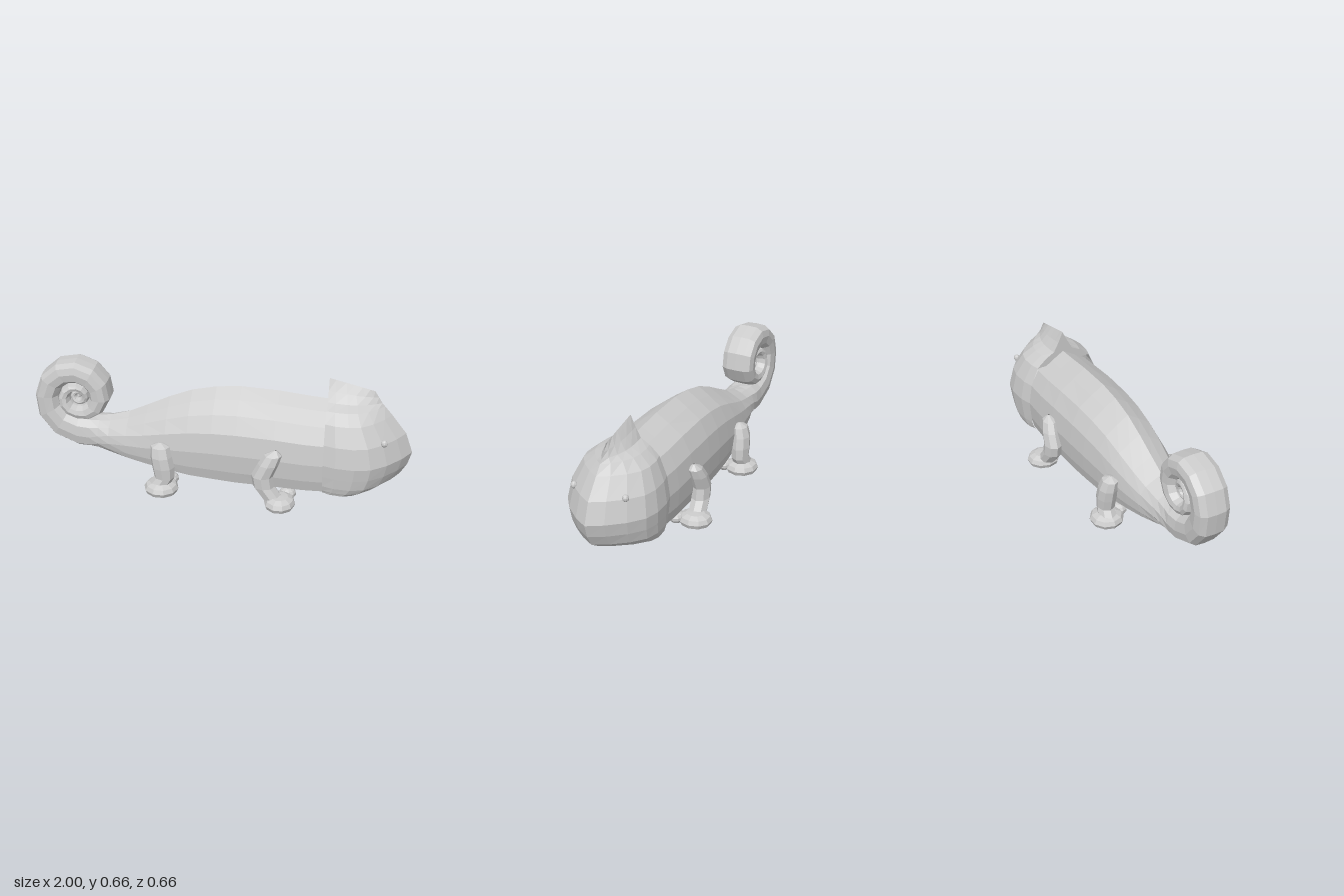
import * as THREE from 'three';

const material = new THREE.MeshStandardMaterial({
  color: 0xcccccc, flatShading: true, side: THREE.DoubleSide,
});

// Skin a list of rows, each holding the same number of [x, y, z] points
function skin(rows, name) {
  const n = rows[0].length;
  const index = [];
  for (let i = 0; i < rows.length - 1; i++) {
    for (let j = 0; j < n - 1; j++) {
      const a = i * n + j, b = a + 1, d = a + n, c = d + 1;
      index.push(a, b, c, a, c, d);
    }
  }
  const geo = new THREE.BufferGeometry();
  geo.setAttribute('position', new THREE.Float32BufferAttribute(rows.flat(2), 3));
  geo.setIndex(index);
  geo.computeVertexNormals();
  return named(geo, name);
}

function named(geo, name) {
  const mesh = new THREE.Mesh(geo, material);
  mesh.name = name;
  return mesh;
}

function ellipsoid(name, [x, y, z], [rx, ry, rz]) {
  const mesh = named(new THREE.SphereGeometry(1, 10, 7), name);
  mesh.position.set(x, y, z);
  mesh.scale.set(rx, ry, rz);
  return mesh;
}

// Horizontal closed ring of points
function ring(x, y, z, rx, rz, sides) {
  return Array.from({ length: sides + 1 }, (_, i) => {
    const a = (i / sides) * Math.PI * 2;
    return [x + Math.cos(a) * rx, y, z + Math.sin(a) * rz];
  });
}

const lerp = THREE.MathUtils.lerp;

// Half sections as [width, height], bottom to top: open belly with a back ridge, and closed tail
const bodyHalf = [[0.88, 0], [0.96, 0.14], [1, 0.36], [0.92, 0.6], [0.7, 0.79], [0.34, 0.905], [0, 1]];
const tailHalf = [[0, 0], [0.56, 0.02], [0.9, 0.16], [1, 0.45], [0.92, 0.78], [0.55, 0.97], [0, 1]];

function section(blend) {
  const half = bodyHalf.map(([w, h], i) => [lerp(w, tailHalf[i][0], blend), lerp(h, tailHalf[i][1], blend)]);
  return [...half, ...half.slice(0, -1).reverse().map(([w, h]) => [-w, h])];
}

// Trunk running back from the neck into the rolled tail
function makeBody() {
  const stations = [ // x, bottom, top, half width, blend to tail section
    [0.58, 0.085, 0.535, 0.206, 0], [0.45, 0.085, 0.545, 0.212, 0], [0.3, 0.09, 0.56, 0.212, 0],
    [0.1, 0.09, 0.567, 0.205, 0], [-0.03, 0.095, 0.555, 0.197, 0], [-0.16, 0.1, 0.525, 0.185, 0],
    [-0.28, 0.115, 0.475, 0.172, 0], [-0.4, 0.13, 0.415, 0.152, 0], [-0.5, 0.145, 0.367, 0.132, 0],
    [-0.6, 0.155, 0.336, 0.112, 0.15], [-0.66, 0.158, 0.328, 0.102, 0.5], [-0.71, 0.16, 0.325, 0.096, 1],
  ];
  const rows = stations.map(([x, lo, hi, w, blend]) =>
    section(blend).map(([pz, py]) => [x, lerp(lo, hi, py), pz * w]));

  // Spiral: outer radius at each quarter turn; each coil fills the gap to the next
  const radii = [0.29, 0.228, 0.207, 0.178, 0.122, 0.1, 0.08, 0.065, 0.05, 0.04, 0.031, 0.023, 0.016, 0.011, 0.007, 0.004, 0.002];
  const radius = (u) => {
    const q = Math.min(u * 4, radii.length - 1), i = Math.min(Math.floor(q), radii.length - 2);
    return lerp(radii[i], radii[i + 1], q - i);
  };
  for (let k = 0; k <= 36; k++) {
    const u = k / 12, angle = -Math.PI / 2 - u * Math.PI * 2;
    const w = Math.min(0.092, 0.012 + radius(u) * 0.75);
    rows.push(section(1).map(([pz, py]) => {
      const r = lerp(radius(u), radius(u + 1), py);
      return [-0.775 + Math.cos(angle) * r, 0.45 + Math.sin(angle) * r, pz * w];
    }));
  }
  return skin(rows, 'bodyAndTail');
}

// Head with a keeled snout, stacked from level outlines, rising to a thin crest
function makeHead() {
  const back = 0.555;
  const levels = [ // height, front x, half width, rise toward the back
    [0.075, 0.83, 0.208, 0.03], [0.095, 0.89, 0.217, 0.015], [0.13, 0.945, 0.226, 0], [0.19, 0.98, 0.233, 0],
    [0.26, 1, 0.24, 0], [0.37, 0.962, 0.221, 0], [0.47, 0.885, 0.175, 0], [0.517, 0.845, 0.115, 0],
    [0.535, 0.83, 0.062, 0.03], [0.565, 0.812, 0.03, 0.12], [0.6, 0.79, 0, 0.235],
  ];
  const outline = [[0, 0.9], [0.15, 0.98], [0.37, 1], [0.55, 0.92], [0.73, 0.67], [0.89, 0.33], [1, 0]];
  const full = [...outline, ...outline.slice(0, -1).reverse().map(([t, w]) => [t, -w])];
  const rows = levels.map(([y, front, w, rise]) => full.map(([t, s]) => {
    const x = lerp(back, front, t);
    return [x, y + rise * (front - x), s * w];
  }));
  const group = new THREE.Group();
  group.name = 'head';
  group.add(skin(rows, 'skull'));
  // Rear wall of the crest
  group.add(skin(rows.slice(6).map((r) => [r[r.length - 1], r[0]]), 'crestBack'));
  for (const side of [1, -1]) {
    group.add(ellipsoid('eye', [0.857, 0.378, side * 0.143], [0.018, 0.019, 0.017]));
  }
  return group;
}

// Leg from horizontal rings [x, y, z, radius], with a thick flat-soled foot and an inner toe
function makeLeg(name, path, footX, footZ, footLength) {
  const limb = path.map(([x, y, z, r]) => ring(x, y, z, r, r * 0.85, 8));
  const foot = [[0.075, 0], [0.072, 0.55], [0.057, 0.88], [0.035, 1], [0.014, 0.9], [0.003, 0.65], [0.002, 0]]
    .map(([y, s]) => ring(footX, y, footZ, footLength * s, 0.09 * s, 10));
  const group = new THREE.Group();
  group.name = name;
  group.add(
    skin(limb, 'limb'),
    skin(foot, 'foot'),
    ellipsoid('toe', [footX + 0.03, 0.04, footZ - 0.09], [0.046, 0.034, 0.042]),
  );
  return group;
}

export function createModel() {
  const model = new THREE.Group();
  model.name = 'chameleon';
  model.add(makeBody(), makeHead());

  const frontPath = [
    [0.312, 0.328, 0.22, 0.006], [0.3, 0.3, 0.22, 0.046], [0.277, 0.25, 0.228, 0.054],
    [0.246, 0.18, 0.231, 0.057], [0.256, 0.12, 0.232, 0.057], [0.305, 0.055, 0.238, 0.056],
  ];
  const rearPath = [
    [-0.3, 0.293, 0.18, 0.006], [-0.3, 0.272, 0.182, 0.05], [-0.294, 0.22, 0.193, 0.058],
    [-0.283, 0.16, 0.196, 0.06], [-0.277, 0.1, 0.198, 0.054], [-0.31, 0.05, 0.203, 0.06],
  ];
  for (const side of [1, -1]) {
    const front = makeLeg('frontLeg', frontPath, 0.342, 0.245, 0.082);
    const rear = makeLeg('rearLeg', rearPath, -0.294, 0.2, 0.092);
    front.scale.z = rear.scale.z = side;
    model.add(front, rear);
  }
  return model;
}
